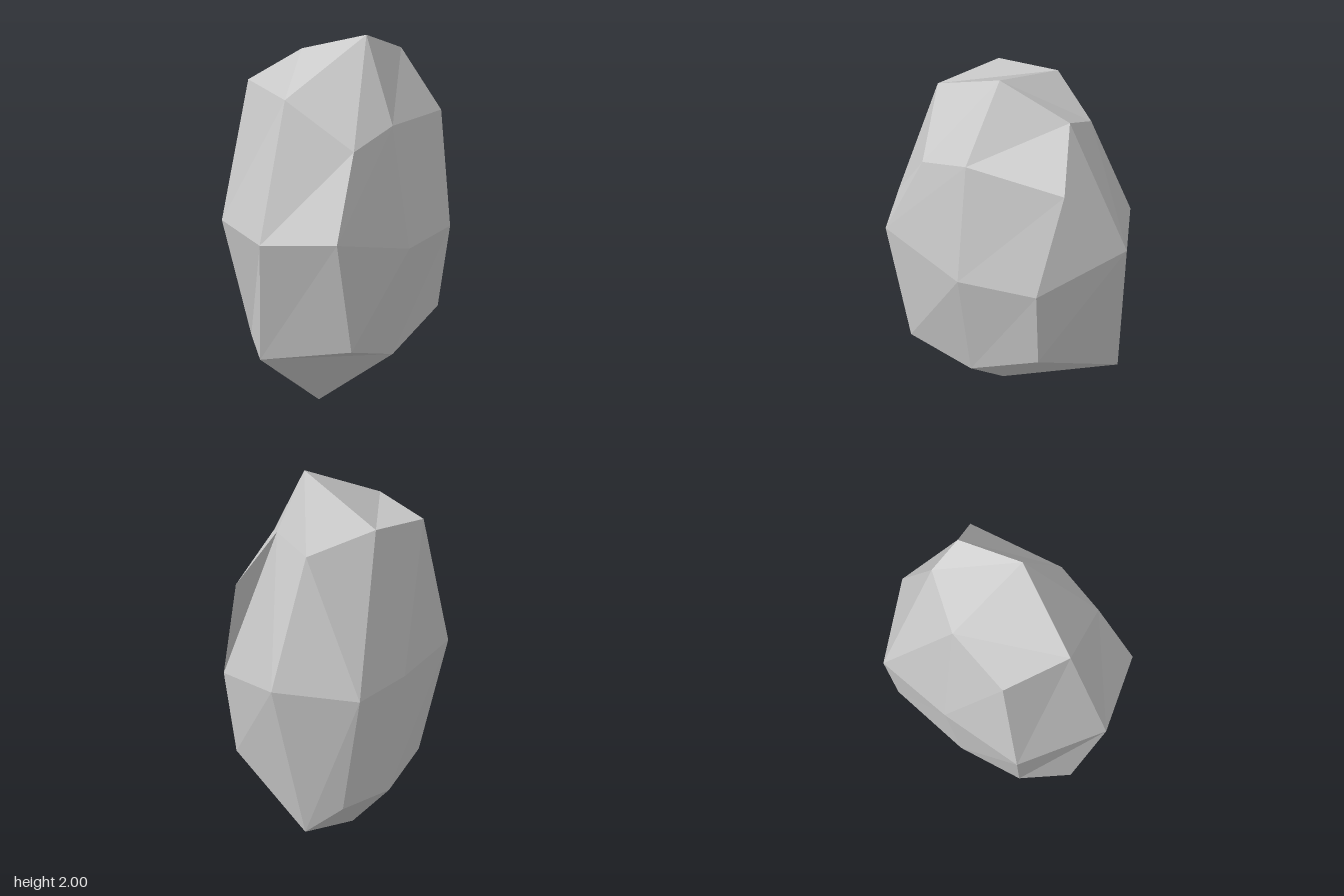
import * as THREE from 'three';

// Displaced corners of a 3 x 3 x 3 lattice: three slices from front to back,
// each with rows from top to bottom and points from -x to +x.
const front = [
  [[-0.29, 1.49, 0.38], [-0.01, 1.57, 0.39], [0.51, 1.5, 0.24]],
  [[-0.48, 1.04, 0.44], [0.01, 0.92, 0.49], [0.43, 0.92, 0.38]],
  [[-0.34, 0.42, 0.41], [0.01, 0.32, 0.37], [0.4, 0.48, 0.32]],
];
const middle = [
  [[-0.44, 1.73, 0.03], [0.04, 2, 0.155], [0.41, 1.82, 0.05]],
  [[-0.665, 1, 0.065], [0, 1, 0], [0.66, 1.04, -0.105]],
  [[-0.53, 0.32, -0.06], [-0.09, 0, -0.06], [0.52, 0.22, -0.22]],
];
const back = [
  [[-0.32, 1.73, -0.345], [0.065, 1.81, -0.33], [0.41, 1.73, -0.14]],
  [[-0.47, 0.99, -0.39], [-0.01, 0.98, -0.46], [0.41, 1, -0.49]],
  [[-0.37, 0.37, -0.275], [-0.02, 0.29, -0.35], [0.41, 0.355, -0.38]],
];
const slices = [front, middle, back];

export function createModel() {
  const group = new THREE.Group();
  group.name = 'rock';

  // A box with two segments per side, each vertex moved to its lattice point
  const geometry = new THREE.BoxGeometry(2, 2, 2, 2, 2, 2);
  const pos = geometry.attributes.position;
  for (let i = 0; i < pos.count; i++) {
    const column = Math.round(pos.getX(i)) + 1;
    const row = 1 - Math.round(pos.getY(i));
    const slice = 1 - Math.round(pos.getZ(i));
    pos.setXYZ(i, ...slices[slice][row][column]);
  }
  geometry.computeVertexNormals();

  const material = new THREE.MeshStandardMaterial({ color: 0xcccccc, flatShading: true });
  const boulder = new THREE.Mesh(geometry, material);
  boulder.name = 'boulder';
  group.add(boulder);
  return group;
}
